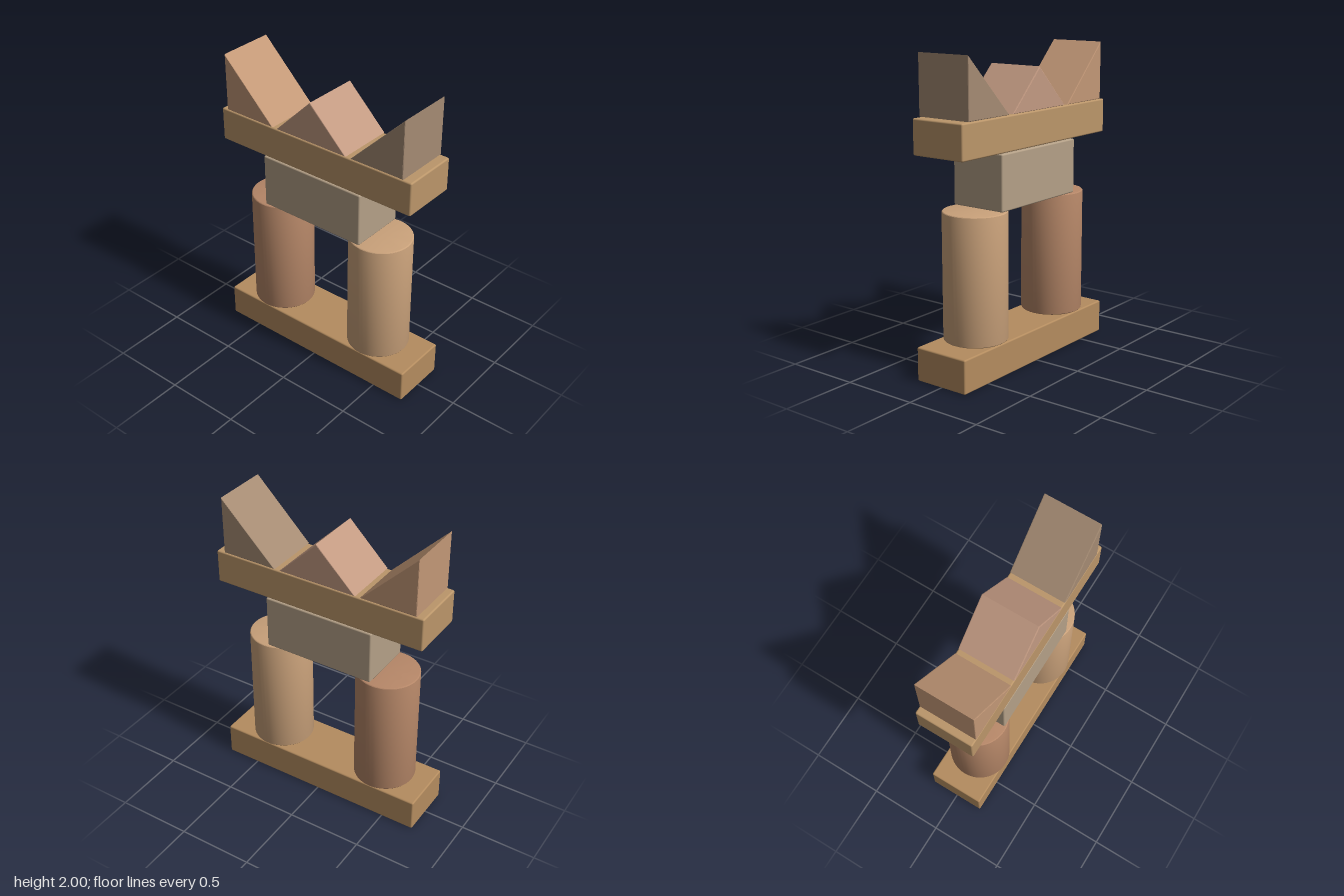
import * as THREE from 'three';
import { RoundedBoxGeometry } from 'three/addons/geometries/RoundedBoxGeometry.js';
import { toCreasedNormals } from 'three/addons/utils/BufferGeometryUtils.js';

const DEPTH = 0.38;
const EDGE = 0.01; // softened edge of every block

function addPart(group, name, geometry, color, x, y) {
  const mesh = new THREE.Mesh(geometry, new THREE.MeshStandardMaterial({ color }));
  mesh.name = name;
  mesh.position.set(x, y, 0);
  group.add(mesh);
}

// Box block with softly rounded edges
const block = (width, height) => new RoundedBoxGeometry(width, height, DEPTH, 3, EDGE);

// Upright cylinder standing on y = 0 with rounded rims
function pillar(radius, height) {
  const profile = [new THREE.Vector2(0, 0)];
  const rim = (cy, start) => {
    for (let i = 0; i <= 4; i++) {
      const a = start + (i / 4) * Math.PI / 2;
      profile.push(new THREE.Vector2(radius - EDGE + EDGE * Math.cos(a), cy + EDGE * Math.sin(a)));
    }
  };
  rim(EDGE, -Math.PI / 2);
  rim(height - EDGE, 0);
  profile.push(new THREE.Vector2(0, height));
  return toCreasedNormals(new THREE.LatheGeometry(profile, 48), 0.35);
}

// Triangular prism with bevelled ends, centred in depth
function prism(corners) {
  const shape = new THREE.Shape(corners.map(([x, y]) => new THREE.Vector2(x, y)));
  const bevel = 0.006;
  const geometry = new THREE.ExtrudeGeometry(shape, {
    depth: DEPTH - 2 * bevel,
    bevelEnabled: true,
    bevelThickness: bevel,
    bevelSize: bevel,
    bevelOffset: -bevel,
    bevelSegments: 2,
  });
  return geometry.translate(0, 0, bevel - DEPTH / 2);
}

export function createModel() {
  const model = new THREE.Group();
  model.name = 'blockGate';

  // Base and lintel planks
  addPart(model, 'basePlank', block(1.455, 0.218), 0xb48c5f, 0, 0.109);
  addPart(model, 'topPlank', block(1.455, 0.22), 0xbb966a, 0, 1.512);

  // Two pillars
  addPart(model, 'rightPillar', pillar(0.203, 0.816), 0xb68768, -0.408, 0.225);
  addPart(model, 'leftPillar', pillar(0.203, 0.816), 0xc9a17a, 0.393, 0.225);

  // Middle block bridging the pillars
  addPart(model, 'middleBlock', block(0.753, 0.354), 0xb4a087, -0.011, 1.221);

  // Roof blocks: a gable between two outward-facing wedges
  addPart(model, 'rightWedge', prism([[0, 0], [0.375, 0], [0, 0.375]]), 0xc39877, -0.681, 1.625);
  addPart(model, 'gable', prism([[-0.266, 0], [0.266, 0], [0, 0.264]]), 0xc39a82, -0.008, 1.625);
  addPart(model, 'leftWedge', prism([[0, 0], [0, 0.375], [-0.375, 0]]), 0xa58b73, 0.668, 1.625);

  return model;
}
